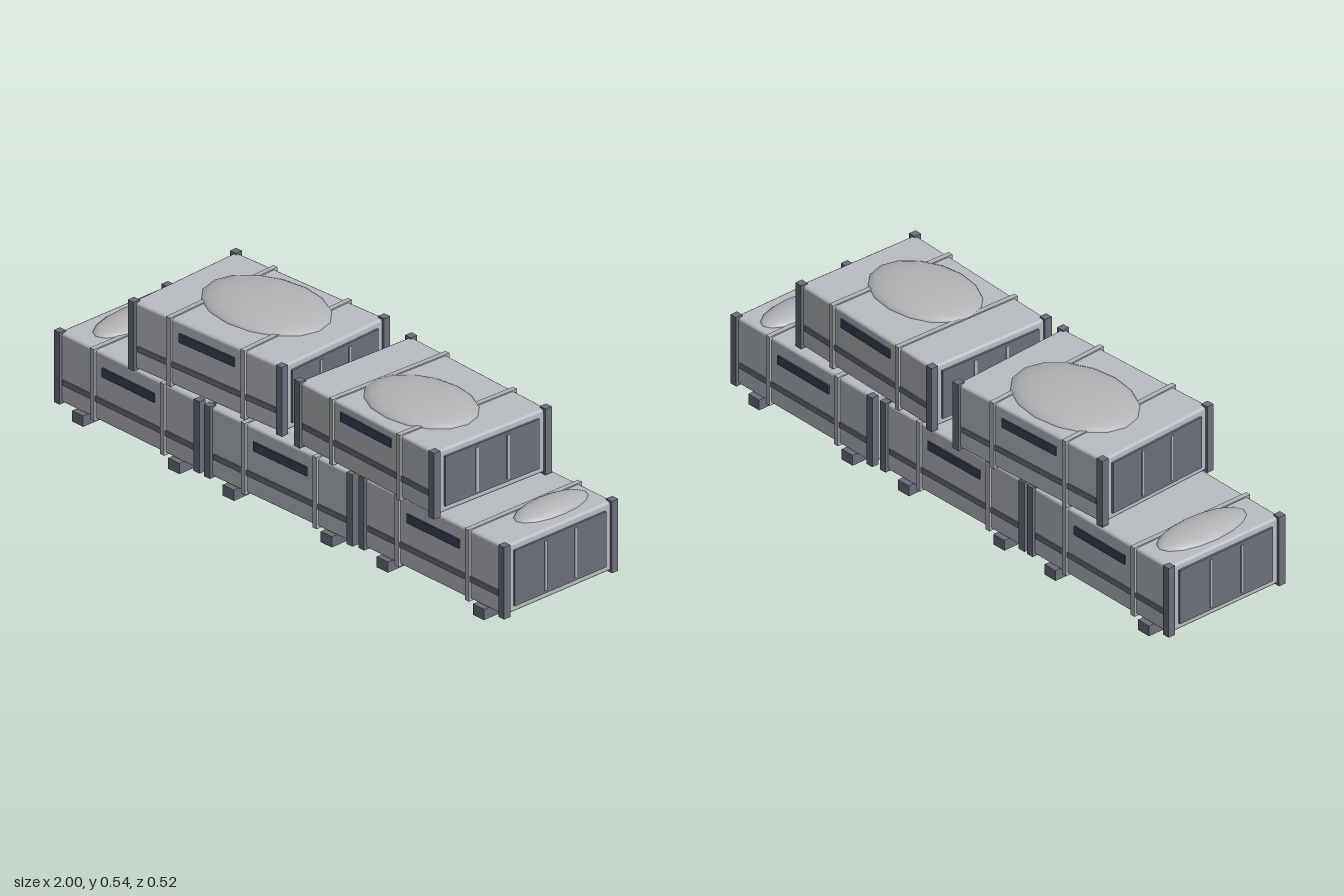
import * as THREE from 'three';
import { RoundedBoxGeometry } from 'three/addons/geometries/RoundedBoxGeometry.js';

const material = (name, color) => {
  const m = new THREE.MeshStandardMaterial({ color });
  m.name = name;
  return m;
};

export function createModel() {
  const shell = material('light grey shell', 0xb9bdc2);
  const trim = material('slate trim', 0x6c707d);
  const strapGrey = material('strap grey', 0xb0b4b7);
  const labelBlue = material('dark blue label', 0x3a4556);
  const dust = material('pale dust', 0xb3b5b6);

  const add = (parent, name, geometry, mat, x, y, z) => {
    const mesh = new THREE.Mesh(geometry, mat);
    mesh.name = name;
    mesh.position.set(x, y, z);
    parent.add(mesh);
    return mesh;
  };
  const box = (parent, name, mat, w, h, d, x, y, z) =>
    add(parent, name, new THREE.BoxGeometry(w, h, d), mat, x, y, z);

  // One crate with its origin at the foot of the corner posts
  function crate(name, h, hasSkids) {
    const g = new THREE.Group();
    g.name = name;
    const bodyH = h - 0.009;
    add(g, 'body', new RoundedBoxGeometry(0.634, bodyH, 0.456, 1, 0.01), shell, 0, 0.004 + bodyH / 2, 0);

    for (const s of [-1, 1]) {
      // Corner posts
      for (const t of [-1, 1])
        box(g, 'cornerPost', trim, 0.026, h, 0.026, s * 0.313, h / 2, t * 0.225);

      // Recessed-looking end panel with two upright slats
      box(g, 'endPanel', trim, 0.008, h - 0.056, 0.38, s * 0.32, h / 2, 0);
      for (const z of [-0.063, 0.063])
        box(g, 'endSlat', strapGrey, 0.008, h - 0.076, 0.011, s * 0.323, h / 2, z);

      // Strap wrapped round the whole body
      box(g, 'strap', strapGrey, 0.018, bodyH + 0.008, 0.472, s * 0.157, 0.004 + bodyH / 2, 0);

      // Stripe and label on both long sides
      box(g, 'stripe', trim, 0.585, 0.019, 0.008, 0, 0.076, s * 0.228);
      box(g, 'label', labelBlue, 0.234, 0.031, 0.009, 0, 0.178, s * 0.2285);

      // Ground skids
      if (hasSkids) box(g, 'skid', trim, 0.05, 0.037, 0.484, s * 0.215, -0.0145, 0);
    }
    return g;
  }

  const model = new THREE.Group();
  model.name = 'crateStack';

  // name, x, y, z, turn, height, skids
  const crates = [
    ['leftLowerCrate', 0.67, 0.033, -0.008, -0.01, 0.247, true],
    ['middleLowerCrate', -0.003, 0.033, 0, 0.008, 0.247, true],
    ['rightLowerCrate', -0.672, 0.033, -0.002, -0.01, 0.247, true],
    ['leftUpperCrate', 0.395, 0.279, 0.006, -0.045, 0.227, false],
    ['rightUpperCrate', -0.345, 0.279, -0.008, 0.045, 0.237, false],
  ];
  for (const [name, x, y, z, turn, h, skids] of crates) {
    const g = crate(name, h, skids);
    g.position.set(x, y, z);
    g.rotation.y = turn;
    model.add(g);
  }

  // Shallow faceted dust mounds: x, y, z, half width, height, half depth
  const mounds = [
    [-0.345, 0.506, -0.04, 0.237, 0.038, 0.17],
    [0.43, 0.497, 0.045, 0.208, 0.035, 0.152],
    [-0.887, 0.272, -0.01, 0.076, 0.026, 0.176],
    [0.887, 0.272, -0.065, 0.065, 0.026, 0.148],
  ];
  for (const [x, y, z, rx, ry, rz] of mounds) {
    const dome = new THREE.SphereGeometry(1, 16, 6, 0, Math.PI * 2, 0, Math.PI / 2);
    add(model, 'dustMound', dome, dust, x, y, z).scale.set(rx, ry, rz);
  }
  return model;
}
